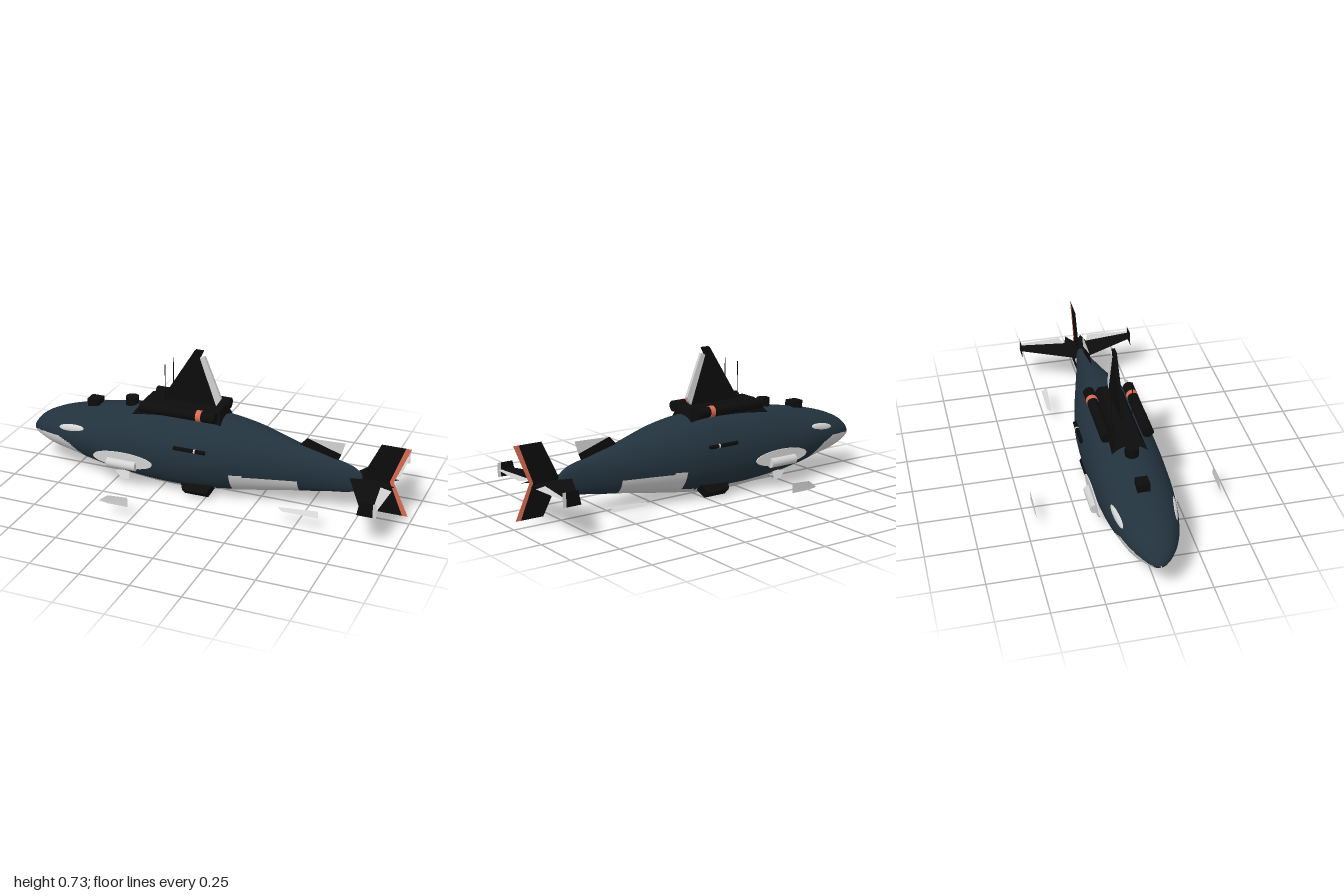
import * as THREE from 'three';

const mat = (name, color, side = THREE.FrontSide) => {
  const m = new THREE.MeshStandardMaterial({ color, side });
  m.name = name;
  return m;
};

export function createModel() {
  const model = new THREE.Group();
  const hullBlue = mat('hull blue', 0x22323d);
  const black = mat('black', 0x0c0c0c, THREE.DoubleSide);
  const pale = mat('pale grey', 0xd2d2d2, THREE.DoubleSide);
  const orange = mat('orange', 0xd9694f, THREE.DoubleSide);

  const add = (name, geo, material, x = 0, y = 0, z = 0) => {
    const mesh = new THREE.Mesh(geo, material);
    mesh.name = name;
    mesh.position.set(x, y, z);
    model.add(mesh);
    return mesh;
  };

  // Thin convex plate through a loop of 3D points
  const plate = (name, material, pts) => {
    const geo = new THREE.BufferGeometry();
    geo.setAttribute('position', new THREE.Float32BufferAttribute(pts.flat(), 3));
    const index = [];
    for (let i = 1; i < pts.length - 1; i++) index.push(0, i, i + 1);
    geo.setIndex(index);
    geo.computeVertexNormals();
    return add(name, geo, material);
  };
  // Upright plate at a given z, from x, y pairs
  const upright = (name, material, z, pts) =>
    plate(name, material, pts.map(([x, y]) => [x, y, z]));

  // Slab of a side outline, centred on z = 0
  const slab = (name, material, thick, pts) => {
    const shape = new THREE.Shape(pts.map(([x, y]) => new THREE.Vector2(x, y)));
    const geo = new THREE.ExtrudeGeometry(shape, { depth: thick, bevelEnabled: false });
    return add(name, geo.translate(0, 0, -thick / 2), material);
  };

  // Box whose top and bottom have their own x range and half width
  const frustum = (name, material, y0, y1, bottom, top) => {
    const geo = new THREE.BoxGeometry(1, 1, 1).toNonIndexed();
    const p = geo.attributes.position;
    for (let i = 0; i < p.count; i++) {
      const up = p.getY(i) > 0;
      const [x0, x1, half] = up ? top : bottom;
      p.setXYZ(i, p.getX(i) < 0 ? x0 : x1, up ? y1 : y0, p.getZ(i) * 2 * half);
    }
    geo.computeVertexNormals();
    return add(name, geo, material);
  };

  // Cylinder lying along x
  const rod = (name, material, x0, x1, r, y, z, sides = 24) =>
    add(name, new THREE.CylinderGeometry(r, r, x1 - x0, sides).rotateZ(Math.PI / 2),
      material, (x0 + x1) / 2, y, z);

  // Hull sections: x, top, bottom, half width
  const sections = [
    [-1, .175, .166, .004], [-.985, .203, .153, .036], [-.95, .243, .138, .072],
    [-.87, .288, .11, .115], [-.74, .33, .083, .15], [-.6, .36, .052, .17],
    [-.4, .393, .016, .18], [-.15, .41, 0, .181], [.05, .407, .018, .17],
    [.22, .383, .042, .137], [.435, .322, .076, .087], [.6, .28, .1, .048],
    [.74, .235, .13, .018], [.758, .215, .145, .012], [.765, .19, .18, .002],
  ];
  const hullAt = new THREE.CubicInterpolant(
    sections.map(s => s[0]), sections.flatMap(s => s.slice(1)), 3);
  // Upper edge of the pale underside
  const edge = [[-.985, .172], [-.95, .186], [-.88, .2], [-.8, .203], [-.74, .18],
    [-.68, .13], [-.66, .088], [-.45, .067], [-.2, .05], [.05, .05], [.13, .065],
    [.1301, .16], [.46, .16]];
  const isPale = (x, y) => {
    for (let i = 1; i < edge.length; i++) {
      const [xa, ya] = edge[i - 1], [xb, yb] = edge[i];
      if (x >= xa && x < xb) return y < ya + (yb - ya) * (x - xa) / (xb - xa);
    }
    return false;
  };
  const RINGS = 190, SIDES = 112;
  const pos = [], blueFaces = [], paleFaces = [];
  for (let i = 0; i <= RINGS; i++) {
    const x = -1 + 1.765 * Math.pow(i / RINGS, 1.25);
    const [top, bottom, half] = hullAt.evaluate(x);
    for (let j = 0; j < SIDES; j++) {
      const a = j / SIDES * Math.PI * 2;
      pos.push(x, (top + bottom) / 2 + (top - bottom) / 2 * Math.cos(a), half * Math.sin(a));
    }
  }
  for (let i = 0; i < RINGS; i++) {
    for (let j = 0; j < SIDES; j++) {
      const k = (j + 1) % SIDES;
      const a = i * SIDES + j, b = i * SIDES + k, c = a + SIDES, d = b + SIDES;
      const midX = (pos[a * 3] + pos[d * 3]) / 2, midY = (pos[a * 3 + 1] + pos[d * 3 + 1]) / 2;
      (isPale(midX, midY) ? paleFaces : blueFaces).push(a, b, c, b, d, c);
    }
  }
  const hull = new THREE.BufferGeometry();
  hull.setAttribute('position', new THREE.Float32BufferAttribute(pos, 3));
  hull.setIndex([...blueFaces, ...paleFaces]);
  hull.addGroup(0, blueFaces.length, 0);
  hull.addGroup(blueFaces.length, paleFaces.length, 1);
  hull.computeVertexNormals();
  add('hull', hull, [hullBlue, pale]);
  rod('tailHub', pale, .745, .768, .021, .147, 0);

  // Deck fittings and tower
  add('bowHatch', new THREE.BoxGeometry(.064, .05, .06), black, -.648, .36, 0);
  add('deckHatch', new THREE.CylinderGeometry(.033, .033, .05, 20), black, -.443, .4, 0);
  frustum('towerBase', black, .365, .448, [-.41, .068, .088], [-.35, .045, .05]);
  slab('dorsalFin', black, .016,
    [[-.28, .44], [-.1, .727], [-.057, .727], [-.075, .69], [.012, .44]]);
  slab('dorsalFinTrailingEdge', pale, .0162,
    [[.01, .45], [-.075, .69], [-.05, .7], [.035, .49]]);

  // Small rear fin
  upright('rearFin', black, 0, [[.42, .3], [.48, .36], [.65, .303], [.63, .255]]);
  upright('rearFinTip', pale, 0, [[.48, .36], [.67, .366], [.65, .303]]);

  // Upright tail fin, upper and lower halves
  for (const [label, tip] of [['upper', .393], ['lower', .037]]) {
    const mid = .205;
    upright(label + 'TailFin', black, 0, [[.755, mid], [.845, tip], [.962, tip], [.893, mid]]);
    upright(label + 'TailFinEdge', orange, 0, [[.893, mid], [.962, tip], [.99, tip], [.913, mid]]);
  }

  for (const s of [1, -1]) {
    const side = s > 0 ? 'near' : 'far';
    const level = (name, material, pts) =>
      plate(side + name, material, pts.map(([x, z]) => [x, .2, s * z]));
    const tilted = (name, material, pts) =>
      plate(side + name, material, pts.map(([x, y, z]) => [x, y, s * z]));

    // Tower cylinders with orange bands, and antennas
    rod(side + 'TowerTank', black, -.35, .045, .027, .428, s * .1);
    rod(side + 'TankBand', orange, -.052, -.025, .0285, .428, s * .1);
    add(side + 'Antenna', new THREE.CylinderGeometry(.002, .002, .2, 6), black,
      -.24, .545, s * .05);

    // Eye patch
    const eye = add(side + 'EyePatch', new THREE.SphereGeometry(1, 32, 20), pale,
      -.73, .25, s * .125);
    eye.scale.set(.098, .025, .02);
    eye.rotation.set(0, -s * .18, .17);

    // Flank patch and thruster
    const patch = add(side + 'FlankPatch', new THREE.CylinderGeometry(1, 1, 1, 40), pale,
      -.42, .158, s * .184);
    patch.rotation.x = Math.PI / 2;
    patch.scale.set(.16, .006, .04);
    rod(side + 'Thruster', pale, -.5, -.345, .024, .137, s * .187);

    // Flank rail with a pale centre
    rod(side + 'FlankRail', black, -.145, .018, .01, .272, s * .176, 12);
    rod(side + 'RailMarker', pale, -.039, -.031, .0108, .272, s * .176, 12);

    // Keel pod
    const pod = frustum(side + 'KeelPod', black, -.025, .025,
      [-.11, .015, .023], [-.135, .035, .023]);
    pod.position.set(0, .041, s * .123);
    pod.rotation.x = -s * Math.PI / 4;

    // Small side fins
    tilted('LowerFin', pale,
      [[-.49, .062, .125], [-.41, .08, .12], [-.41, .03, .14], [-.45, .033, .14]]);
    tilted('OuterFinTip', pale, [[-.42, .066, .452], [-.37, .105, .456],
      [-.265, .112, .456], [-.265, .062, .456], [-.37, .06, .454]]);
    tilted('RearStabilizer', pale,
      [[.412, .084, .222], [.44, .073, .238], [.62, .073, .237], [.608, .093, .209]]);

    // Level tail fluke with its end plate
    level('Fluke', black, [[.7, .02], [.835, .3], [.895, .3], [.865, .06]]);
    level('FlukeRoot', black, [[.7, .02], [.865, .06], [.93, .042], [.87, .004], [.7, .004]]);
    level('FlukeEdge', pale, [[.865, .06], [.895, .3], [.913, .3], [.925, .08]]);
    upright(side + 'EndPlate', black, s * .3,
      [[.82, .165], [.835, .235], [.897, .235], [.897, .165]]);
    upright(side + 'EndPlateEdge', pale, s * .3,
      [[.897, .165], [.897, .235], [.915, .235], [.915, .165]]);
  }
  return model;
}
